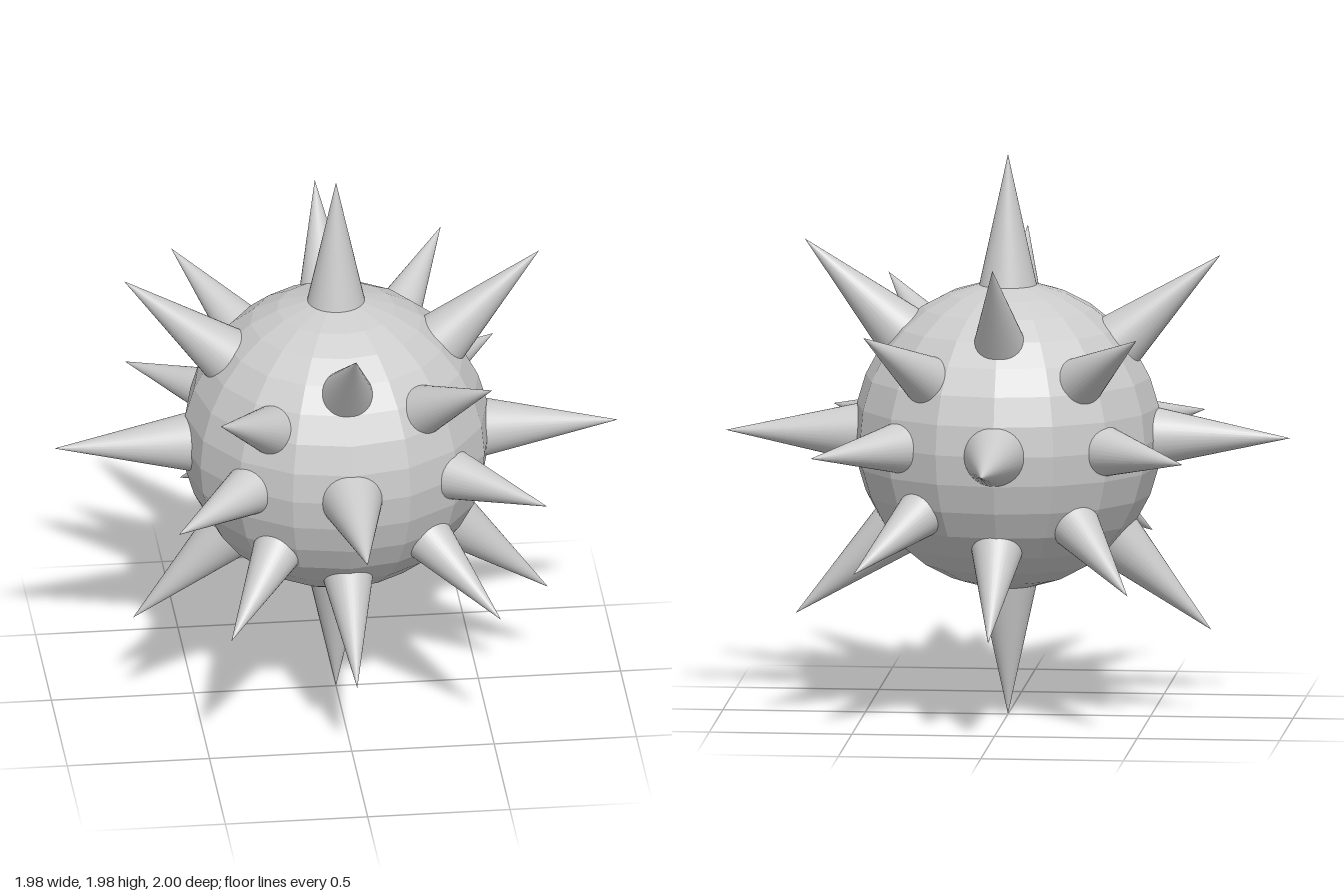
import * as THREE from 'three';

// Spike tips measured from the ball's centre; each one has an opposite twin.
const TIPS = [
  // along the axes
  [0.99, 0, 0], [0, 0.99, 0], [0, 0, 1],
  // between two axes
  [0.713, 0.681, 0], [-0.745, 0.644, 0],
  [-0.005, 0.633, 0.681], [0.005, -0.676, 0.627],
  [-0.628, -0.01, 0.68], [0.672, 0, 0.628],
  // between three axes
  [0.479, 0.468, 0.628], [-0.479, 0.4, 0.665],
  [-0.443, -0.44, 0.678], [0.51, -0.436, 0.628],
];

const SPIKE_LENGTH = 0.5;
const SPIKE_RADIUS = 0.109;

export function createModel() {
  const model = new THREE.Group();
  model.name = 'spikedBall';
  const smooth = new THREE.MeshStandardMaterial({ color: 0xcccccc });
  const faceted = new THREE.MeshStandardMaterial({ color: 0xcccccc, flatShading: true });

  // Faceted core ball
  const ball = new THREE.Mesh(new THREE.SphereGeometry(0.54, 16, 16), faceted);
  ball.name = 'ball';
  ball.position.y = 1;
  model.add(ball);

  // Smooth cones, shifted so the tip is the origin and the axis is +y
  const cone = new THREE.ConeGeometry(SPIKE_RADIUS, SPIKE_LENGTH, 32);
  cone.translate(0, -SPIKE_LENGTH / 2, 0);

  const spikes = new THREE.Group();
  spikes.name = 'spikes';
  spikes.position.y = 1;
  const up = new THREE.Vector3(0, 1, 0);
  for (const tip of TIPS) {
    for (const sign of [1, -1]) {
      const spike = new THREE.Mesh(cone, smooth);
      spike.name = 'spike';
      spike.position.set(...tip).multiplyScalar(sign);
      spike.quaternion.setFromUnitVectors(up, spike.position.clone().normalize());
      spikes.add(spike);
    }
  }
  model.add(spikes);
  return model;
}
